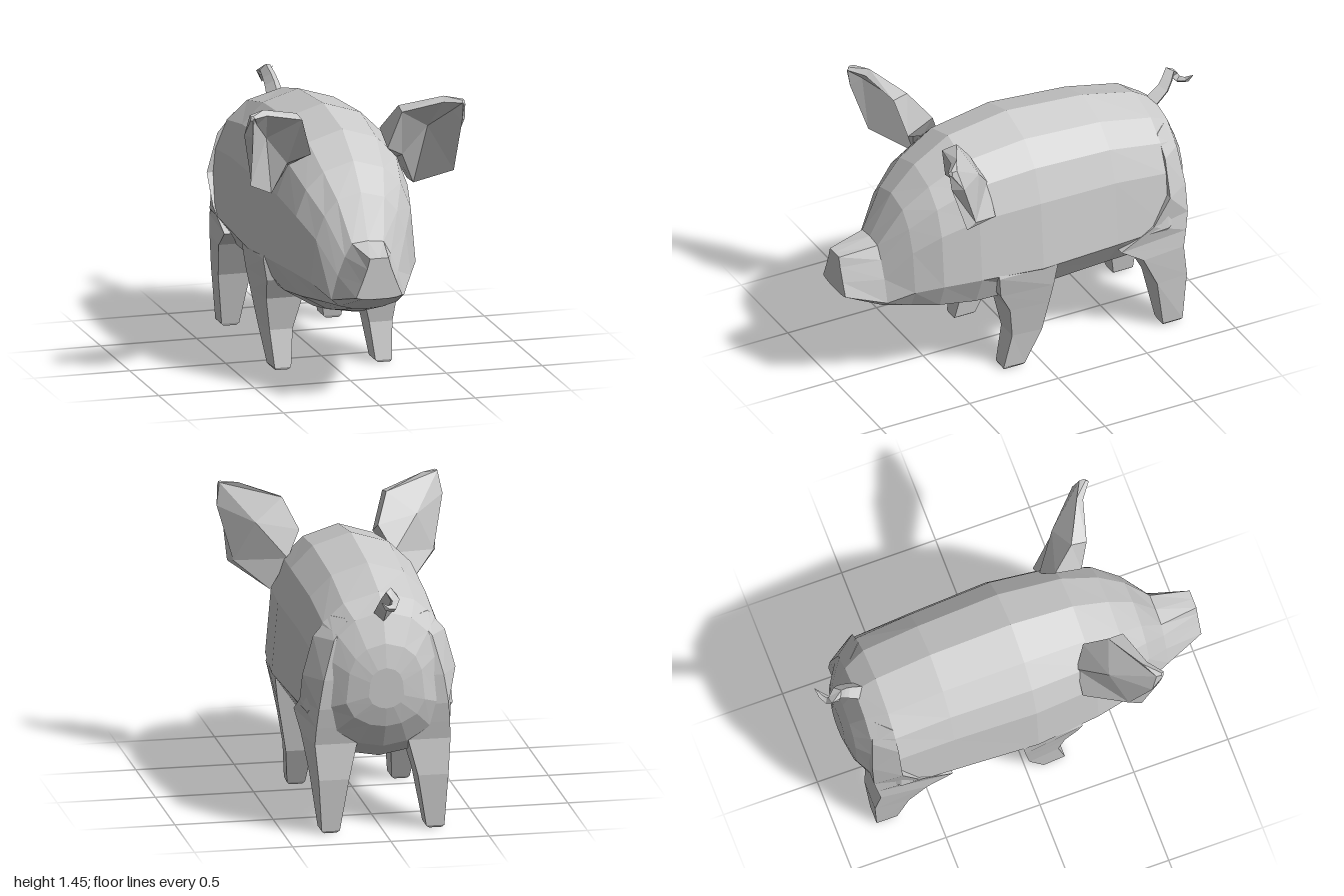
import * as THREE from 'three';

const material = new THREE.MeshStandardMaterial({ color: 0xcccccc, flatShading: true });

// Skin a closed solid over rings of [x, y, z]; faces are turned outward by signed volume.
function loft(name, rings) {
  const n = rings[0].length, tris = [];
  const quad = (a, b, c, d) => tris.push([a, b, c], [a, c, d]);
  for (let i = 0; i < rings.length - 1; i++) {
    for (let j = 0; j < n; j++) {
      const k = (j + 1) % n;
      quad(rings[i][j], rings[i][k], rings[i + 1][k], rings[i + 1][j]);
    }
  }
  const cap = (ring, flip) => {
    const c = [0, 1, 2].map((a) => ring.reduce((s, p) => s + p[a], 0) / n);
    ring.forEach((p, j) => {
      const q = ring[(j + 1) % n];
      tris.push(flip ? [c, q, p] : [c, p, q]);
    });
  };
  cap(rings[0], true);
  cap(rings[rings.length - 1], false);
  let volume = 0;
  for (const t of tris) {
    const [a, b, c] = t.map((p) => new THREE.Vector3(...p));
    volume += a.dot(b.cross(c));
  }
  if (volume < 0) tris.forEach((t) => t.reverse());
  const geometry = new THREE.BufferGeometry();
  geometry.setAttribute('position', new THREE.Float32BufferAttribute(tris.flat(2), 3));
  geometry.computeVertexNormals();
  const mesh = new THREE.Mesh(geometry, material);
  mesh.name = name;
  return mesh;
}

// Half outlines (share of half width, share of height), from spine to belly.
const trunk = (belly) => [
  [0, 1], [0.48, 0.94], [0.76, 0.83], [0.92, 0.66], [1, 0.3], [belly, 0.13], [belly / 2, 0.03], [0, 0],
];
const SNOUT = [[0, 1], [0.4, 1], [0.52, 0.75], [0.75, 0.4], [1, 0.06], [0.75, 0.02], [0.4, 0], [0, 0]];

// Stations: z, top, bottom, half width, amount of snout outline, belly fullness.
const STATIONS = [
  [1.0, 0.76, 0.55, 0.12, 1, 0.8],
  [0.8, 0.8, 0.45, 0.19, 0.55, 0.84],
  [0.68, 1.02, 0.405, 0.26, 0.12, 0.84],
  [0.55, 1.15, 0.37, 0.325, 0, 0.84],
  [0.36, 1.265, 0.335, 0.37, 0, 0.82],
  [0.03, 1.315, 0.3, 0.403, 0, 0.7],
  [-0.4, 1.28, 0.32, 0.385, 0, 0.7],
  [-0.69, 1.21, 0.36, 0.375, 0, 0.76],
  [-0.8, 1.14, 0.44, 0.3, 0, 0.8],
  [-0.865, 0.99, 0.56, 0.2, 0, 0.8],
  [-0.89, 0.87, 0.66, 0.09, 0, 0.8],
];

function makeBody() {
  return loft('body', STATIONS.map(([z, top, bottom, width, snout, belly]) => {
    const half = trunk(belly).map(([u, v], i) => [
      width * THREE.MathUtils.lerp(u, SNOUT[i][0], snout),
      THREE.MathUtils.lerp(bottom, top, THREE.MathUtils.lerp(v, SNOUT[i][1], snout)),
      z,
    ]);
    const other = half.slice(1, -1).reverse().map(([x, y]) => [-x, y, z]);
    return [...half, ...other];
  }));
}

// Leg rows: y, inner x, outer x, front z, back z, outer x at the back.
const FRONT_LEG = [
  [0.7, 0.2, 0.35, 0.26, 0, 0.36],
  [0.6, 0.18, 0.385, 0.27, -0.05, 0.4],
  [0.48, 0.16, 0.36, 0.25, -0.035, 0.385],
  [0.37, 0.155, 0.345, 0.19, -0.02, 0.365],
  [0.2, 0.2, 0.32, 0.165, 0.005, 0.335],
  [0.012, 0.22, 0.305, 0.205, 0.09, 0.312],
  [0, 0.235, 0.3, 0.2, 0.097, 0.3],
];
const BACK_LEG = [
  [1.1, 0.08, 0.25, -0.69, -0.77, 0.17],
  [1.0, 0.12, 0.335, -0.69, -0.8, 0.25],
  [0.8, 0.14, 0.39, -0.69, -0.82, 0.305],
  [0.65, 0.14, 0.385, -0.6, -0.82, 0.33],
  [0.55, 0.14, 0.38, -0.42, -0.805, 0.34],
  [0.46, 0.13, 0.37, -0.55, -0.79, 0.345],
  [0.28, 0.175, 0.345, -0.64, -0.815, 0.33],
  [0.012, 0.22, 0.312, -0.69, -0.8, 0.312],
  [0, 0.235, 0.3, -0.695, -0.793, 0.3],
];

function makeLeg(name, rows, side) {
  return loft(name, rows.map(([y, inner, outer, front, back, outerBack]) => [
    [side * inner, y, front], [side * outer, y, front],
    [side * outerBack, y, back], [side * inner, y, back],
  ]));
}

// Ear rings from root to tip: inner rim, inner back, middle back, outer back, outer rim, cup.
const EAR = [
  [[0.2, 1.18, 0.48], [0.2, 1.25, 0.34], [0.27, 1.12, 0.28], [0.36, 0.965, 0.28], [0.37, 0.96, 0.36], [0.3, 1.12, 0.4]],
  [[0.26, 1.375, 0.53], [0.265, 1.39, 0.45], [0.41, 1.28, 0.4], [0.51, 1.07, 0.47], [0.53, 1.055, 0.53], [0.42, 1.27, 0.44]],
  [[0.46, 1.425, 0.585], [0.47, 1.45, 0.555], [0.555, 1.44, 0.6], [0.575, 1.33, 0.57], [0.545, 1.33, 0.625], [0.51, 1.38, 0.575]],
  [[0.54, 1.43, 0.645], [0.545, 1.44, 0.63], [0.556, 1.44, 0.625], [0.56, 1.42, 0.63], [0.55, 1.42, 0.64], [0.545, 1.43, 0.64]],
];

function makeEar(name, side) {
  return loft(name, EAR.map((ring) => ring.map(([x, y, z]) => [side * x, y, z])));
}

// Curled, tapering tail
function makeTail() {
  const path = [[0, 1.12, -0.78], [0, 1.19, -0.86], [-0.025, 1.265, -0.91], [-0.035, 1.21, -0.935], [0, 1.195, -0.965], [0.045, 1.24, -0.997]];
  const curve = new THREE.CatmullRomCurve3(path.map((p) => new THREE.Vector3(...p)));
  const steps = 8;
  const { normals, binormals } = curve.computeFrenetFrames(steps);
  const rings = [];
  for (let i = 0; i <= steps; i++) {
    const radius = 0.045 * (1 - i / steps) ** 0.6 + 0.002;
    const center = curve.getPointAt(i / steps);
    rings.push([0, 1, 2, 3].map((j) => center.clone()
      .addScaledVector(normals[i], radius * Math.cos(j * Math.PI / 2))
      .addScaledVector(binormals[i], radius * Math.sin(j * Math.PI / 2)).toArray()));
  }
  return loft('tail', rings);
}

export function createModel() {
  const pig = new THREE.Group();
  pig.name = 'pig';
  pig.add(makeBody(), makeTail());
  for (const [label, side] of [['left', 1], ['right', -1]]) {
    pig.add(
      makeEar(label + 'Ear', side),
      makeLeg(label + 'FrontLeg', FRONT_LEG, side),
      makeLeg(label + 'BackLeg', BACK_LEG, side),
    );
  }
  return pig;
}
